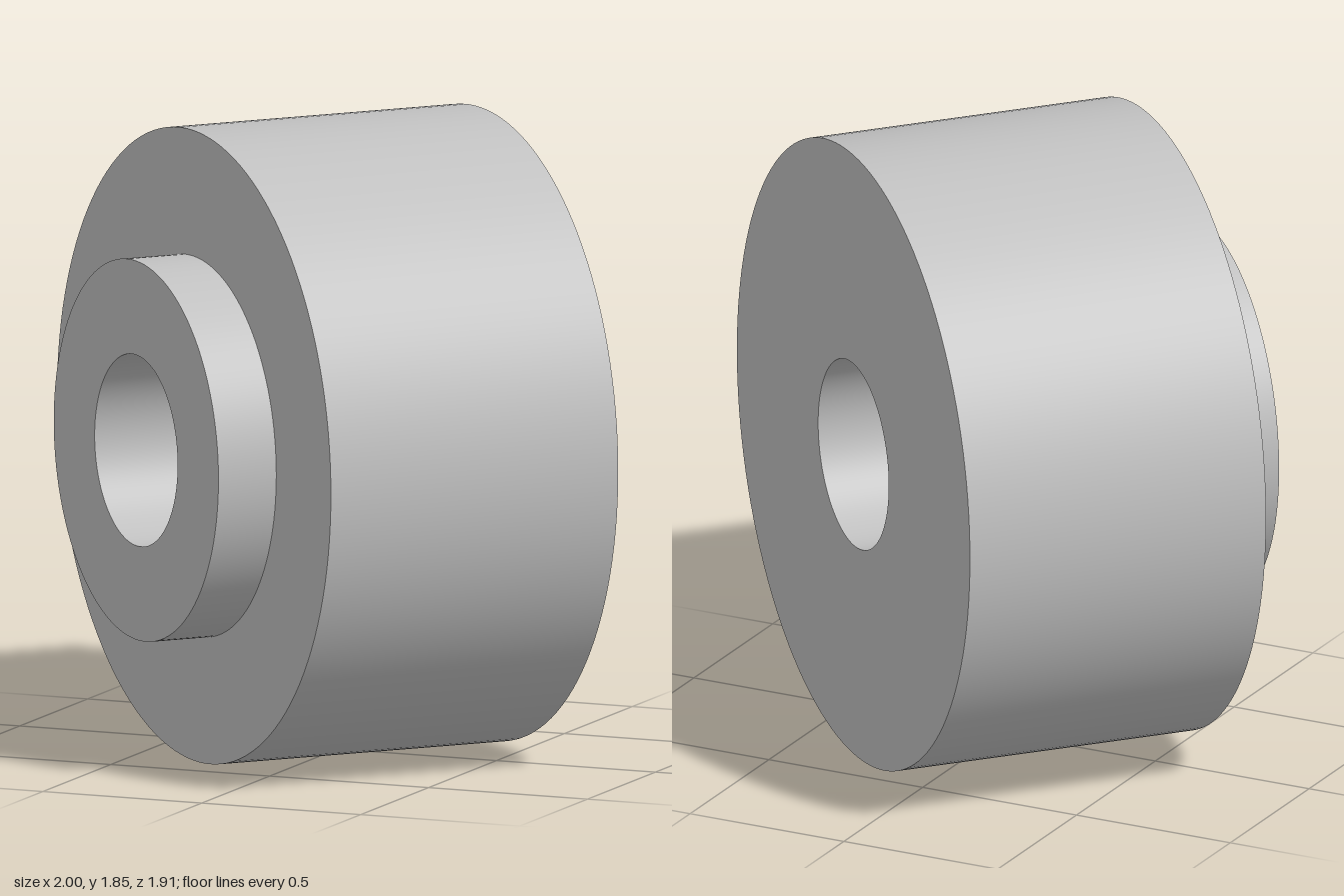
import * as THREE from 'three';
import { toCreasedNormals } from 'three/addons/utils/BufferGeometryUtils.js';

const BODY_R = 0.925, BOSS_R = 0.556, BORE_R = 0.28;
const BACK = -0.46, FACE = 0.46, BOSS_END = 0.645;

export function createModel() {
  const model = new THREE.Group();
  model.name = 'hubbedWheel';
  const steel = new THREE.MeshStandardMaterial({ color: 0xc0c0c0 });
  steel.name = 'light grey';

  // Turned part: [radius, distance along the axle] profile, sharp at its corners
  const wheel = new THREE.Group();
  wheel.name = 'wheel';
  function turn(name, profile) {
    const points = profile.map(([r, d]) => new THREE.Vector2(r, d));
    const geometry = toCreasedNormals(new THREE.LatheGeometry(points, 128), 0.5);
    geometry.rotateX(Math.PI / 2); // axle along +z
    const mesh = new THREE.Mesh(geometry, steel);
    mesh.name = name;
    wheel.add(mesh);
  }

  // Wide drum with its back face and the front face around the boss
  turn('drum', [[BORE_R, BACK], [BODY_R, BACK], [BODY_R, FACE], [BOSS_R, FACE]]);
  // Raised ring on the front
  turn('boss', [[BOSS_R, FACE], [BOSS_R, BOSS_END], [BORE_R, BOSS_END]]);
  // Through hole, facing inwards
  turn('bore', [[BORE_R, BOSS_END], [BORE_R, BACK]]);

  // Stand on the ground with the boss turned toward front right
  wheel.position.y = BODY_R;
  wheel.rotation.y = -0.724;
  model.add(wheel);
  return model;
}
